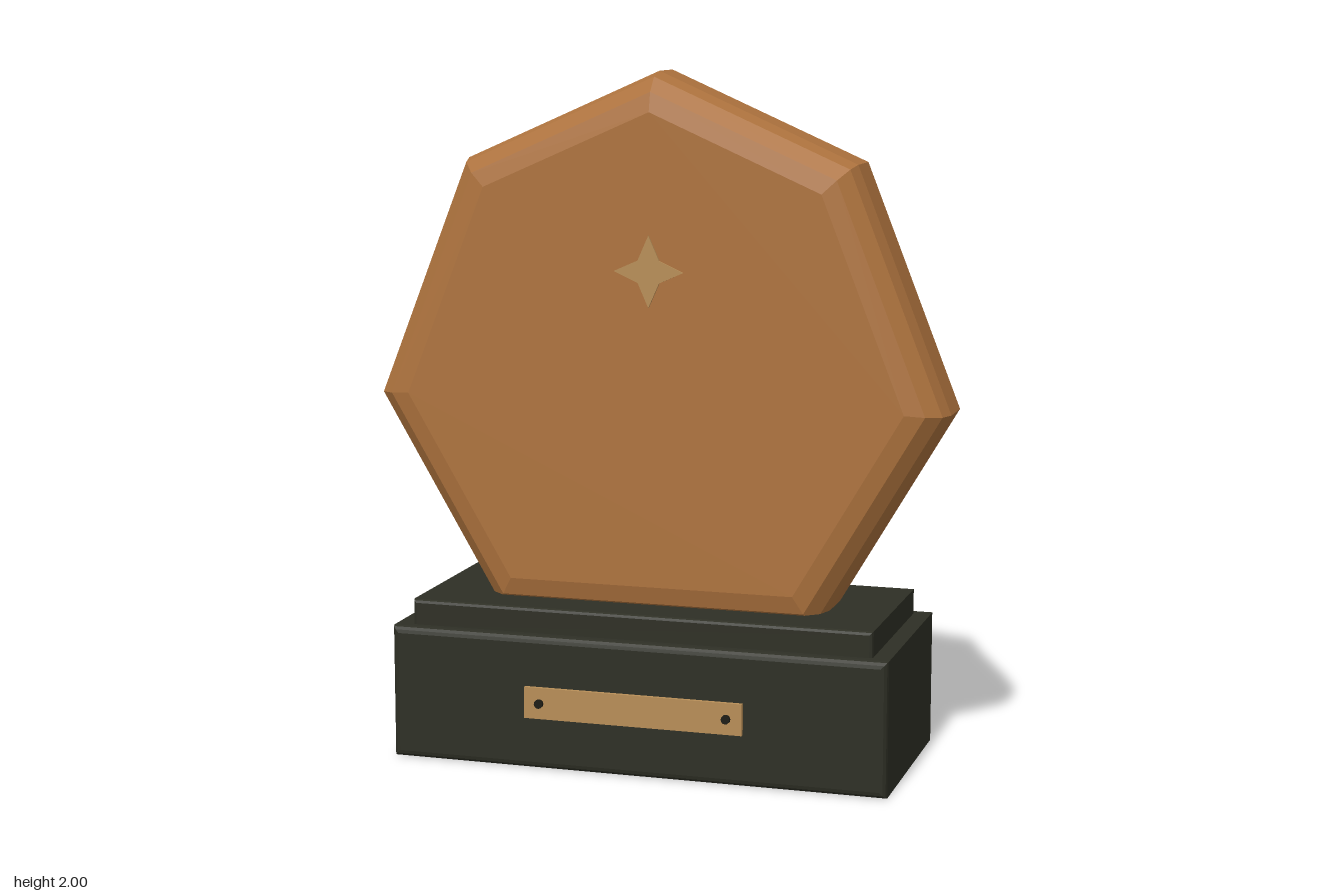
import * as THREE from 'three';

const material = (name, color) => {
  const m = new THREE.MeshStandardMaterial({ color });
  m.name = name;
  return m;
};

// Closed outline extruded from zBack to zFront, its bevel kept inside the outline
function slab(points, zBack, zFront, bevel, segments) {
  const shape = new THREE.Shape(points.map(([x, y]) => new THREE.Vector2(x, y)));
  const geometry = new THREE.ExtrudeGeometry(shape, {
    depth: zFront - zBack - 2 * bevel,
    bevelEnabled: bevel > 0,
    bevelSize: bevel,
    bevelThickness: bevel,
    bevelOffset: -bevel,
    bevelSegments: segments,
  });
  return geometry.translate(0, 0, zBack + bevel);
}

const rectangle = (halfWidth, y0, y1) => [
  [-halfWidth, y0], [halfWidth, y0], [halfWidth, y1], [-halfWidth, y1],
];

export function createModel() {
  const group = new THREE.Group();
  group.name = 'trophy';
  const wood = material('warm wood', 0xae733e);
  const dark = material('dark base', 0x2e2f25);
  const brass = material('brass', 0xb88e57);
  const screwDark = material('screw black', 0x1c1b14);

  const add = (name, geometry, mat) => {
    const mesh = new THREE.Mesh(geometry, mat);
    mesh.name = name;
    group.add(mesh);
    return mesh;
  };

  // Stepped base
  add('lowerBase', slab(rectangle(0.738, 0, 0.393), -0.335, 0.313, 0.02, 3), dark);
  add('upperBase', slab(rectangle(0.687, 0.38, 0.467), -0.295, 0.273, 0.01, 2), dark);

  // Seven-sided body, its lowest edge sunk into the base
  const heptagon = [
    [0, 2], [-0.58, 1.745], [-0.855, 1.05], [-0.484, 0.42],
    [0.484, 0.42], [0.855, 1.05], [0.58, 1.745],
  ];
  add('body', slab(heptagon, -0.178, 0.156, 0.103, 3), wood);

  // Four-pointed star inlay
  const star = Array.from({ length: 8 }, (_, i) => {
    const r = i % 2 ? 0.045 : 0.103;
    const a = Math.PI / 2 + (i * Math.PI) / 4;
    return [r * Math.cos(a), 1.438 + r * Math.sin(a)];
  });
  add('star', slab(star, 0.154, 0.162, 0, 1), brass);

  // Name plate with two screws
  add('plate', slab(rectangle(0.325, 0.153, 0.245), 0.311, 0.325, 0, 1), brass);
  for (const side of [-1, 1]) {
    const screw = add(side > 0 ? 'leftScrew' : 'rightScrew',
      new THREE.CylinderGeometry(0.013, 0.013, 0.02, 12), screwDark);
    screw.rotation.x = Math.PI / 2;
    screw.position.set(side * 0.279, 0.199, 0.325);
  }
  return group;
}
